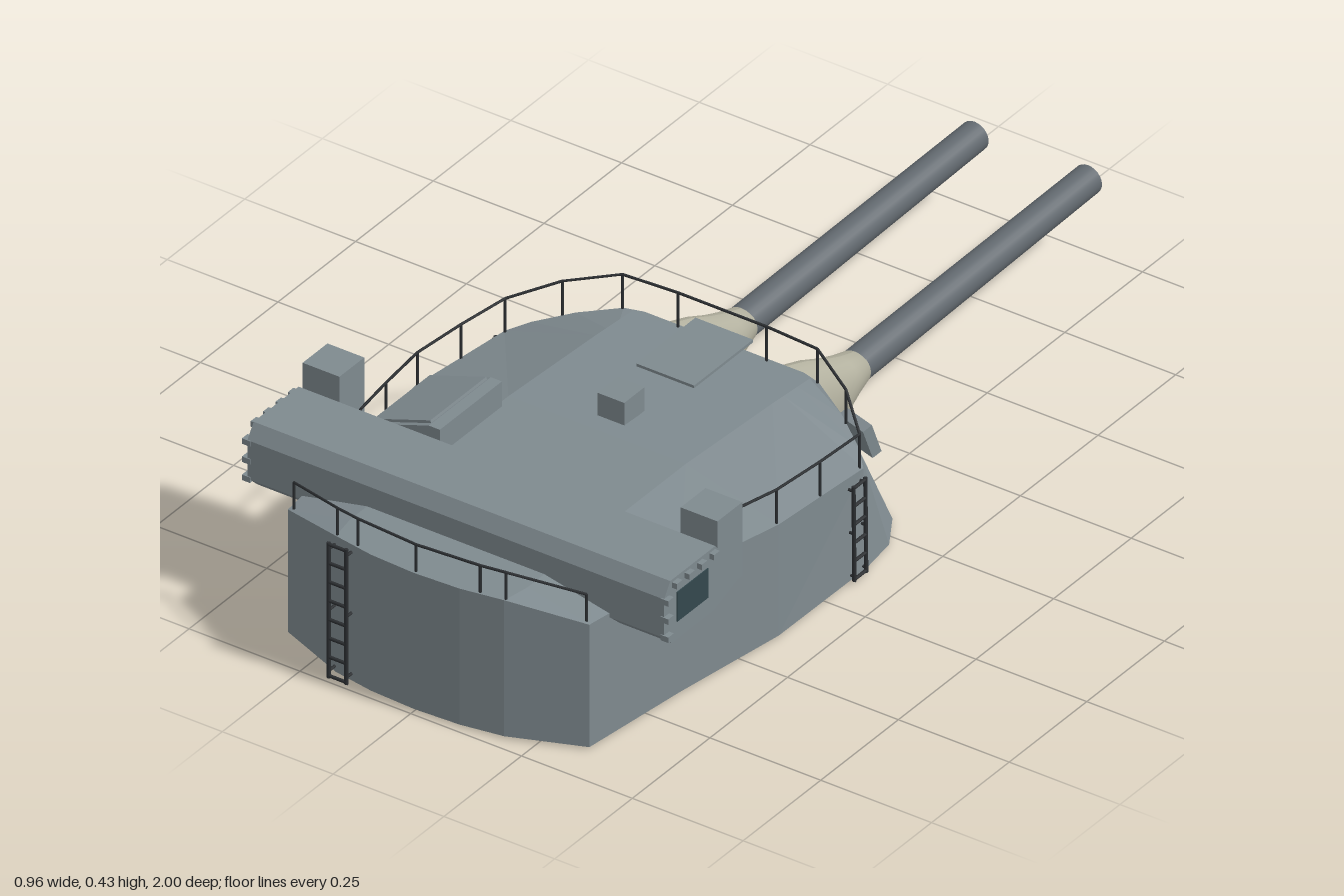
import * as THREE from 'three';

const mat = (color, flatShading = false) =>
  new THREE.MeshStandardMaterial({ color, flatShading, side: THREE.DoubleSide });
const steel = mat(0x7f8a8f, true), dark = mat(0x2c2f32), barrelMat = mat(0x62696f),
  canvas = mat(0xb4b2a0), glass = mat(0x33484d, true), boreMat = mat(0x222426);
const V = (x, y, z) => new THREE.Vector3(x, y, z);

function add(parent, name, geo, material, x = 0, y = 0, z = 0) {
  const m = new THREE.Mesh(geo, material);
  m.name = name;
  m.position.set(x, y, z);
  parent.add(m);
  return m;
}
const group = (parent, name) => {
  const g = new THREE.Group();
  g.name = name;
  parent.add(g);
  return g;
};
// Box given by its min and max corners
const block = (parent, name, a, b, material = steel) =>
  add(parent, name, new THREE.BoxGeometry(b[0] - a[0], b[1] - a[1], b[2] - a[2]), material,
    (a[0] + b[0]) / 2, (a[1] + b[1]) / 2, (a[2] + b[2]) / 2);

// Thin rod between two points
function rod(parent, name, a, b, r = 0.0028) {
  const d = b.clone().sub(a), mid = a.clone().add(b).multiplyScalar(0.5);
  const m = add(parent, name, new THREE.CylinderGeometry(r, r, d.length(), 6), dark, mid.x, mid.y, mid.z);
  m.quaternion.setFromUnitVectors(V(0, 1, 0), d.normalize());
}

// Surface through rows of equally many points
function loft(rows) {
  const n = rows[0].length, index = [];
  for (let i = 0; i < rows.length - 1; i++)
    for (let j = 0; j < n - 1; j++) {
      const a = i * n + j, c = a + n;
      index.push(a, a + 1, c, a + 1, c + 1, c);
    }
  const g = new THREE.BufferGeometry();
  g.setAttribute('position', new THREE.Float32BufferAttribute(rows.flat().flatMap(p => p.toArray()), 3));
  g.setIndex(index);
  g.computeVertexNormals();
  return g;
}

// Profile in (z, y) extruded along x
function extrudeX(profile, x0, x1) {
  const s = new THREE.Shape(profile.map(([z, y]) => new THREE.Vector2(-z, y)));
  const g = new THREE.ExtrudeGeometry(s, { depth: x1 - x0, bevelEnabled: false });
  return g.rotateY(Math.PI / 2).translate(x0, 0, 0);
}

// Railing along base points, posts at each
function railing(parent, name, base, h) {
  const g = group(parent, name);
  const top = base.map((p, i) => p.clone().setY(p.y + (Array.isArray(h) ? h[i] : h)));
  base.forEach((p, i) => {
    rod(g, 'post', p, top[i]);
    if (i) rod(g, 'handrail', top[i - 1], top[i]);
  });
}

// Ladder: two rails, rungs and wall brackets
function ladder(parent, name, a, b, side, wall, rungs) {
  const g = group(parent, name);
  const l = [a, b].map(p => p.clone().sub(side)), r = [a, b].map(p => p.clone().add(side));
  for (const s of [l, r]) {
    rod(g, 'rail', s[0], s[1], 0.004);
    for (const t of [0.05, 0.5, 0.95]) {
      const p = s[0].clone().lerp(s[1], t);
      rod(g, 'bracket', p, p.clone().add(wall), 0.003);
    }
  }
  for (let i = 0; i < rungs; i++) {
    const t = (i + 0.1) / (rungs - 0.8);
    rod(g, 'rung', l[0].clone().lerp(l[1], t), r[0].clone().lerp(r[1], t), 0.0035);
  }
}

export function createModel() {
  const root = new THREE.Group();
  root.name = 'gunTurret';

  // Armoured housing: stations rear to front [xBottom, zBottom, xTop, zTop, yTop]
  const ridge = z => 0.28 + 0.025 * Math.min(1, Math.max(0, z / 0.32));
  const stations = [
    [0, .99, 0, .99, .305], [.1, .985, .1, .985, .305], [.19, .97, .19, .97, .305],
    [.34, .91, .34, .91, .275], [.37, .66, .37, .66, .268], [.41, .4, .41, .4, .25],
    [.412, .12, .405, .12, .223], [.4, .03, .37, .085, .237], [.355, -.045, .3, .04, .26],
    [.28, -.09, .22, 0, .279], [.2, -.1, .18, -.01, .28], [0, -.1, 0, -.01, .28]];
  const rows = stations.map(([xb, zb, xt, zt, yt]) => {
    const half = [V(0, ridge(zt), zt), V(Math.min(xt, .2), ridge(zt), zt),
      V(xt, yt, zt), V(xb, .005, zb), V(0, .005, zb)];
    return [...half.slice(1).reverse().map(p => V(-p.x, p.y, p.z)), ...half];
  });
  add(root, 'housing', loft(rows), steel);
  add(root, 'baseRing', new THREE.CylinderGeometry(.375, .375, .01, 48), dark, 0, .005, .305);

  // Guns with fabric blast bags
  const bag = [[-.015, .27, -.1, .02, .055], [-.09, .243, -.145, .043, .054], [-.15, .215, -.185, .075, .048],
    [-.2, .195, -.22, .097, .041], [-.25, .18, -.25, .112, .035], [-.25, .15, -.25, .142, .004]];
  const boot = loft(bag.map(([zt, yt, zb, yb, w]) => Array.from({ length: 25 }, (_, i) => {
    const a = i / 24 * Math.PI * 2, u = (1 + Math.cos(a)) / 2;
    return V(Math.sin(a) * w, yb + (yt - yb) * u, zb + (zt - zb) * u);
  })));
  const tube = new THREE.LatheGeometry([[.034, 0], [.034, .1], [.031, .8], [.031, .8], [.017, .8], [.017, .8], [.017, .74]]
    .map(p => new THREE.Vector2(...p)), 24).rotateX(-Math.PI / 2);
  for (const s of [-1, 1]) {
    const gun = group(root, s < 0 ? 'rightGun' : 'leftGun');
    gun.position.x = s * .128;
    add(gun, 'blastBag', boot, canvas);
    add(gun, 'barrel', tube, barrelMat, 0, .146, -.2).rotation.x = .0165;
    add(gun, 'bore', new THREE.CircleGeometry(.017, 20).rotateY(Math.PI), boreMat, 0, .158, -.945);
  }

  // Rangefinder beam across the rear roof
  const finder = group(root, 'rangefinder');
  add(finder, 'beam', extrudeX([[.855, .265], [.855, .35], [.835, .38], [.69, .38], [.665, .35], [.665, .265]], -.47, .47), steel);
  for (const s of [-1, 1]) {
    const x0 = s < 0 ? -.467 : .34, x1 = s < 0 ? -.34 : .467;
    add(finder, 'endFairing', extrudeX([[.855, .265], [.825, .237], [.69, .237], [.61, .265]], x0, x1), steel);
    block(finder, 'sightBox', [s < 0 ? -.468 : .385, .265, .6], [s < 0 ? -.385 : .468, .428, .68]);
    block(finder, 'endWindow', [s * .47 - .002, .28, .715], [s * .47 + .002, .345, .815], glass);
    for (const [z, y] of [[.848, .265], [.848, .305], [.848, .345], [.82, .368], [.78, .368], [.74, .368], [.7, .368]])
      block(finder, 'endLug', [s * .472 - .009, y - .006, z - .009], [s * .472 + .009, y + .006, z + .009]);
  }

  // Roof fittings
  const hatch = new THREE.Shape([[-.36, .255], [-.19, .28], [-.19, .36], [-.215, .36], [-.345, .315], [-.36, .305]]
    .map(p => new THREE.Vector2(...p)));
  add(root, 'roofHatch', new THREE.ExtrudeGeometry(hatch, { depth: .2, bevelEnabled: false }), steel, 0, 0, .435);
  const lid = add(root, 'hatchLid', new THREE.BoxGeometry(.135, .008, .18), steel, -.281, .339, .535);
  lid.rotation.z = .333;
  block(root, 'periscope', [-.03, .3, .29], [.03, .352, .355]);
  block(root, 'periscopeWindow', [-.017, .322, .287], [.017, .342, .291], boreMat);
  block(root, 'roofPlate', [-.065, .304, -.01], [.065, .31, .18]);

  // Sight ports on the sloped face
  for (const [x, yaw] of [[-.28, .3], [0, 0], [.28, -.3]]) {
    const port = group(root, 'sightPort');
    port.position.set(x, .165, x ? -.047 : -.058);
    port.rotation.set(.33, yaw, 0, 'YXZ');
    add(port, 'cover', new THREE.BoxGeometry(x ? .075 : .06, .07, .022), steel);
  }

  // Railings
  railing(root, 'rearRailing', [[-.33, .275, .905], [-.19, .303, .965], [-.138, .303, .973], [0, .303, .983],
    [.138, .303, .973], [.19, .303, .965], [.33, .275, .905]].map(p => V(...p)), .061);
  const side = [[.365, .268, .64], [.385, .26, .53], [.405, .25, .4], [.405, .237, .26], [.4, .224, .125],
    [.32, .255, .055], [.22, .28, .004], [.1, .28, -.004]];
  railing(root, 'frontRailing', [...side, ...side.map(([x, y, z]) => [-x, y, z]).reverse()].map(p => V(...p)), .075);

  // Ladders
  ladder(root, 'rearLadder', V(-.17, .005, .993), V(-.17, .303, .993), V(.02, 0, 0), V(0, 0, -.02), 8);
  for (const s of [-1, 1])
    ladder(root, 'sideLadder', V(s * .419, .005, .15), V(s * .417, .213, .15), V(0, 0, .019), V(-s * .012, 0, 0), 6);

  return root;
}
